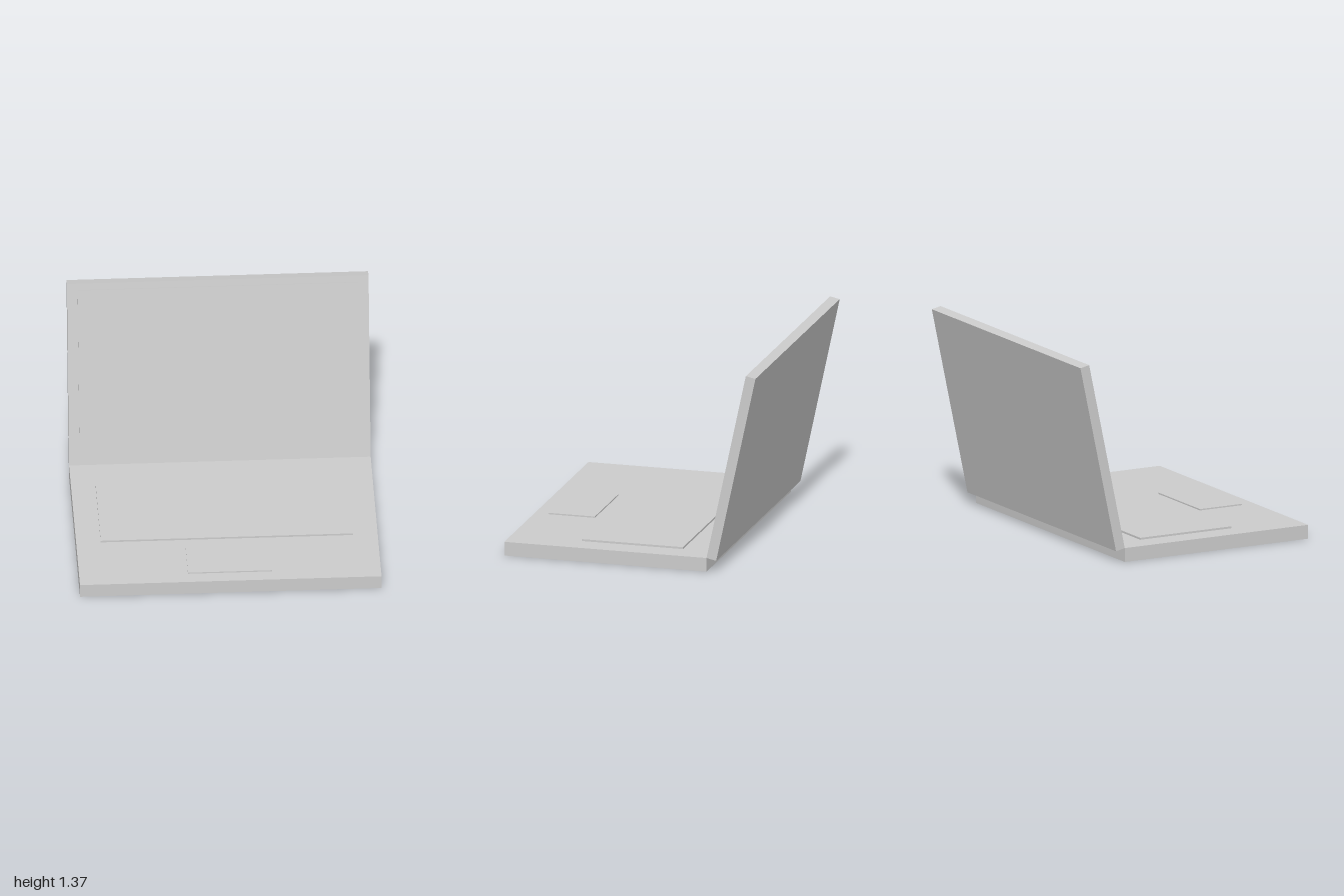
import * as THREE from 'three';

const material = new THREE.MeshStandardMaterial({ color: 0xcccccc, flatShading: true });

// Box given by its extents along each axis
function slab(name, [x0, x1], [y0, y1], [z0, z1]) {
  const mesh = new THREE.Mesh(new THREE.BoxGeometry(x1 - x0, y1 - y0, z1 - z0), material);
  mesh.position.set((x0 + x1) / 2, (y0 + y1) / 2, (z0 + z1) / 2);
  mesh.name = name;
  return mesh;
}

export function createModel() {
  const model = new THREE.Group();
  model.name = 'laptop';

  const top = 0.094;      // height of the base
  const hingeZ = -0.53;   // rear edge of the base

  // Base with the raised keyboard and trackpad
  model.add(
    slab('base', [-1, 1], [0, top], [hingeZ, 0.865]),
    slab('keyboard', [-0.837, 0.837], [top - 0.01, 0.107], [-0.32, 0.375]),
    slab('trackpad', [-0.279, 0.279], [top - 0.01, 0.103], [0.45, 0.77]),
  );

  // Lid leaning back about the rear top edge of the base
  const lid = new THREE.Group();
  lid.name = 'lid';
  lid.position.set(0, top, hingeZ);
  lid.rotation.x = -THREE.MathUtils.degToRad(12);
  lid.add(
    slab('lidPanel', [-1, 1], [0, 1.303], [-0.068, 0]),
    slab('screen', [-0.93, 0.93], [0.09, 1.257], [-0.01, 0.0095]),
  );
  model.add(lid);

  return model;
}
